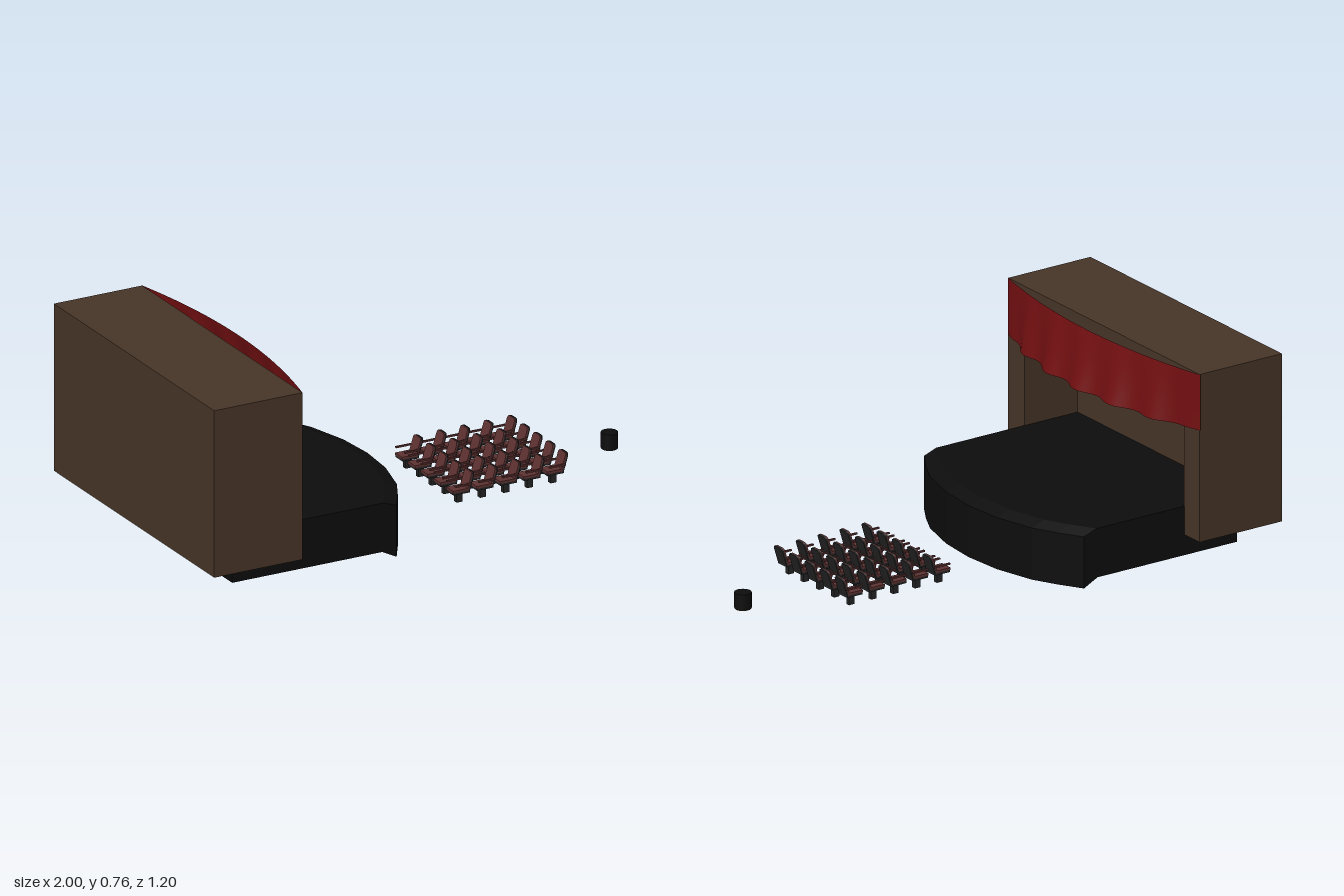
import * as THREE from 'three';

const mat = (color, extra = {}) => new THREE.MeshStandardMaterial({ color, ...extra });
const wood = mat(0x473528);
const black = mat(0x0d0d0d, { flatShading: true });
const fabric = mat(0x720f11, { side: THREE.DoubleSide });
const cushion = mat(0x5e3232);
const frame = mat(0x242424);
const brass = mat(0x4a4212);

function add(parent, name, geometry, material, x = 0, y = 0, z = 0) {
  const mesh = new THREE.Mesh(geometry, material);
  mesh.name = name;
  mesh.position.set(x, y, z);
  parent.add(mesh);
  return mesh;
}

// Box given by its minimum and maximum corners
function block(parent, name, material, a, b) {
  const size = a.map((v, i) => b[i] - v);
  const mid = a.map((v, i) => (b[i] + v) / 2);
  return add(parent, name, new THREE.BoxGeometry(...size), material, ...mid);
}

// Stage: one side profile repeated across z, its nose following a shallow arc
function stageGeometry() {
  const nose = [[-0.5, -0.19], [-0.41, -0.135], [-0.318, -0.088], [-0.158, -0.046], [0, -0.033],
    [0.158, -0.046], [0.318, -0.088], [0.41, -0.135], [0.5, -0.19]];
  const sections = nose.map(([z, x]) => [
    [-0.87, 0.03], [-0.87, 0.22], [x - 0.055, 0.22], [x, 0.2],
    [x, 0], [-0.19, 0], [-0.25, 0.03],
  ].map(([px, py]) => [px, py, z]));
  const n = 7;
  const pos = [];
  const tri = (a, b, c) => pos.push(...a, ...b, ...c);
  for (let k = 0; k < sections.length - 1; k++) {
    const s = sections[k], t = sections[k + 1];
    for (let i = 0; i < n; i++) {
      const j = (i + 1) % n;
      tri(s[i], t[i], t[j]);
      tri(s[i], t[j], s[j]);
    }
  }
  const first = sections[0], last = sections[sections.length - 1];
  for (let i = 0; i < n - 2; i++) {
    tri(first[n - 1], first[i], first[i + 1]);
    tri(last[n - 1], last[i + 1], last[i]);
  }
  const g = new THREE.BufferGeometry();
  g.setAttribute('position', new THREE.Float32BufferAttribute(pos, 3));
  g.computeVertexNormals();
  return g;
}

// Valance: a bowed sheet that flares and ripples more toward its hem
function valanceGeometry() {
  const g = new THREE.PlaneGeometry(1.2, 1, 96, 6);
  const p = g.attributes.position;
  for (let i = 0; i < p.count; i++) {
    const z = -p.getX(i);
    const drop = 0.5 - p.getY(i);
    const bow = 1 - (z / 0.6) ** 2;
    const ripple = 0.013 * Math.cos(z * Math.PI * 2 / 0.2) * Math.min(1, bow * 2);
    const x = -0.635 + bow * (0.07 + 0.05 * drop) + ripple * drop;
    p.setXYZ(i, x, 0.76 - 0.215 * drop, z);
  }
  g.computeVertexNormals();
  return g;
}

// Backrest panel with rounded upper corners
function backrestGeometry() {
  const w = 0.027, h = 0.072, r = 0.014;
  const s = new THREE.Shape();
  s.moveTo(-w, 0);
  s.lineTo(w, 0);
  s.lineTo(w, h - r);
  s.quadraticCurveTo(w, h, w - r, h);
  s.lineTo(-w + r, h);
  s.quadraticCurveTo(-w, h, -w, h - r);
  s.closePath();
  const g = new THREE.ExtrudeGeometry(s, { depth: 0.006, bevelEnabled: false, curveSegments: 4 });
  return g.rotateY(Math.PI / 2);
}

// One chair, facing the stage (-x)
function makeChair(backrest) {
  const chair = new THREE.Group();
  chair.name = 'chair';
  block(chair, 'chairStem', frame, [-0.012, 0.025, -0.009], [0.012, 0.066, 0.009]);
  block(chair, 'seatPan', frame, [-0.034, 0.063, -0.027], [0.033, 0.071, 0.027]);
  block(chair, 'seatCushion', cushion, [-0.036, 0.071, -0.027], [0.026, 0.08, 0.027]);
  for (const [name, material, x] of [['backrestShell', frame, 0.027], ['backrestCushion', cushion, 0.021]]) {
    add(chair, name, backrest, material, x, 0.07, 0).rotation.z = -0.3;
  }
  for (const side of [-1, 1]) {
    const arm = block(chair, 'armrest', cushion, [-0.03, 0.095, -0.004], [0.036, 0.101, 0.004]);
    arm.position.z = side * 0.032;
  }
  return chair;
}

export function createModel() {
  const model = new THREE.Group();
  model.name = 'smallTheatre';

  // Stage house, open toward the audience
  const house = new THREE.Group();
  house.name = 'stageHouse';
  model.add(house);
  block(house, 'backWall', wood, [-1, 0.11, -0.596], [-0.87, 0.76, 0.6]);
  block(house, 'roof', wood, [-0.87, 0.66, -0.596], [-0.635, 0.76, 0.6]);
  block(house, 'rightSideWall', wood, [-0.87, 0.11, -0.596], [-0.635, 0.66, -0.497]);
  block(house, 'leftSideWall', wood, [-0.87, 0.11, 0.497], [-0.635, 0.66, 0.6]);

  add(model, 'stage', stageGeometry(), black);
  add(model, 'valance', valanceGeometry(), fabric);

  // Five rows of five chairs
  const seating = new THREE.Group();
  seating.name = 'seating';
  model.add(seating);
  const backrest = backrestGeometry();
  for (let row = 0; row < 5; row++) {
    for (let col = -2; col <= 2; col++) {
      const chair = makeChair(backrest);
      chair.position.set(0.237 + row * 0.0972, 0, col * 0.095);
      seating.add(chair);
    }
  }

  // Small drum behind the seats
  add(model, 'drum', new THREE.CylinderGeometry(0.032, 0.032, 0.06, 20), mat(0x0d0d0d), 0.968, 0.058, 0);
  add(model, 'drumBase', new THREE.CylinderGeometry(0.03, 0.03, 0.004, 20), brass, 0.968, 0.027, 0);
  return model;
}
